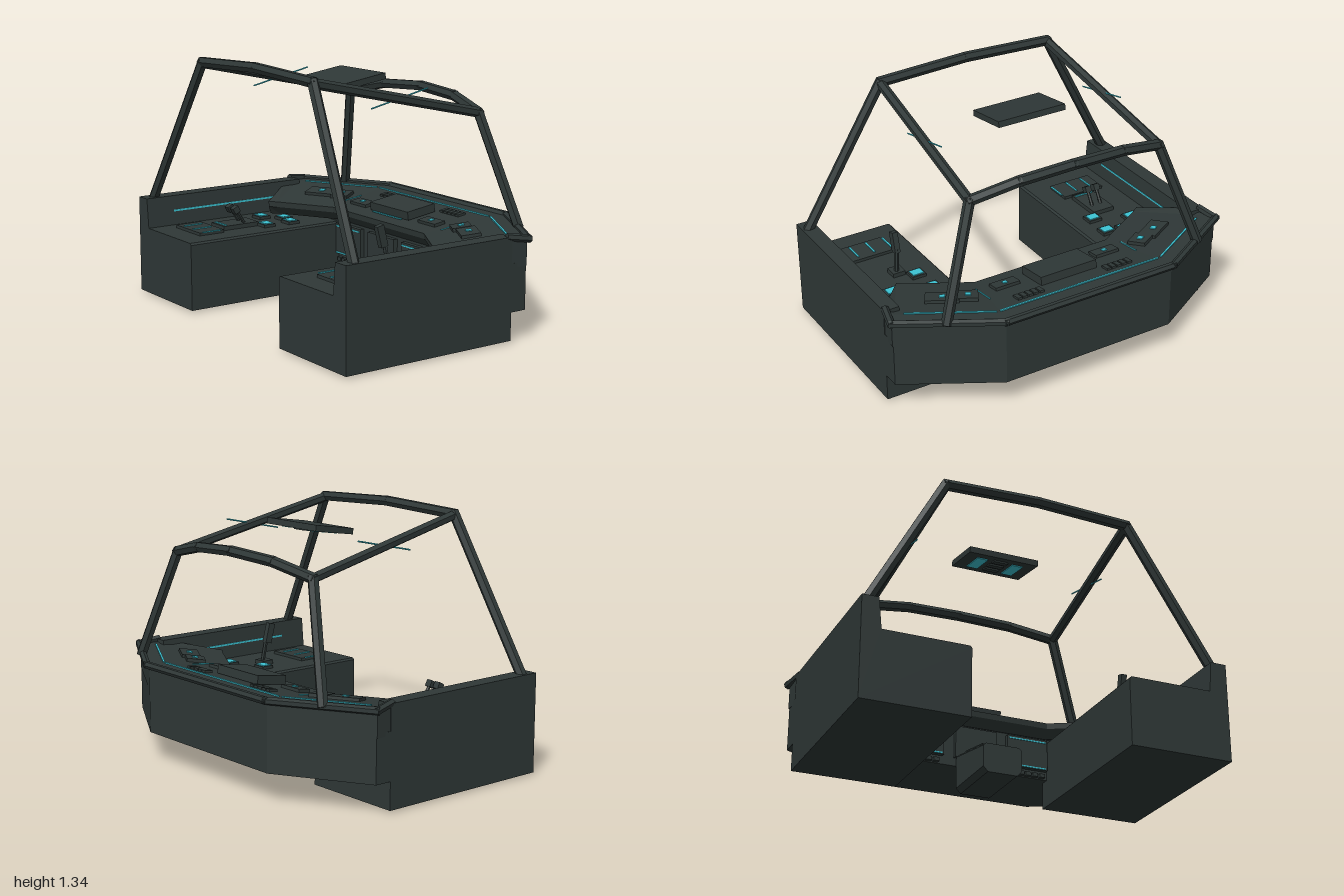
import * as THREE from 'three';

const hull = new THREE.MeshStandardMaterial({ color: 0x2f3837, flatShading: true });
hull.name = 'dark hull';
const glow = new THREE.MeshStandardMaterial({ color: 0x3cc4d4, flatShading: true });
glow.name = 'cyan light';

export function createModel() {
  const root = new THREE.Group();
  root.name = 'cockpit';

  const add = (name, geo, mat = hull) => {
    const m = new THREE.Mesh(geo, mat);
    m.name = name;
    root.add(m);
    return m;
  };
  // Box with a size, a centre, a turn about y and then a tilt about x
  const box = (name, size, pos, mat = hull, ry = 0, rx = 0) => {
    const m = add(name, new THREE.BoxGeometry(...size), mat);
    m.position.set(...pos);
    m.rotation.set(rx, ry, 0, 'YXZ');
    return m;
  };
  // Faceted bar between two points
  const bar = (name, a, b, r, mat = hull, extra = 0.012, sides = 6) => {
    const p = new THREE.Vector3(...a), q = new THREE.Vector3(...b);
    const d = q.clone().sub(p);
    const m = add(name, new THREE.CylinderGeometry(r, r, d.length() + 2 * extra, sides), mat);
    m.position.copy(p).add(q).multiplyScalar(0.5);
    m.quaternion.setFromUnitVectors(new THREE.Vector3(0, 1, 0), d.normalize());
    return m;
  };
  const path = (name, pts, r) => {
    for (let i = 0; i + 1 < pts.length; i++) bar(name, pts[i], pts[i + 1], r);
  };
  const extrude = (pts, depth) => new THREE.ExtrudeGeometry(
    new THREE.Shape(pts.map(p => new THREE.Vector2(...p))), { depth, bevelEnabled: false });
  // Mirrors the right half of a path to make the full one
  const mirror = half => [...half.map(([x, y, z]) => [-x, y, z]), ...half.slice().reverse()];

  // Side consoles with raised outer walls
  for (const s of [-1, 1]) {
    const section = [[0.415, 0.012], [0.965, 0.012], [0.965, 0.532], [0.88, 0.532], [0.865, 0.372], [0.425, 0.372], [0.415, 0.362]];
    const geo = extrude(section.map(([x, y]) => [s * x, y]), 0.99);
    geo.translate(0, 0, -0.3);
    add('sideConsole', geo);
    box('wallLight', [0.006, 0.01, 0.83], [s * 0.873, 0.45, 0.115], glow);

    // Rear switch panel with light strips
    box('switchPanel', [0.25, 0.02, 0.15], [s * 0.67, 0.378, 0.485]);
    for (const x of [0.54, 0.64, 0.735])
      box('switchStrip', [0.01, 0.006, 0.11], [s * x, 0.39, 0.49], glow);

    // Lit keys
    for (const [x, z] of [[0.74, 0.05], [0.64, -0.035], [0.55, 0.14], [0.54, -0.01]]) {
      box('keyBase', [0.08, 0.02, 0.07], [s * x, 0.378, z]);
      box('litKey', [0.062, 0.006, 0.05], [s * x, 0.39, z], glow);
    }
  }

  // Lower dashboard body
  const bodyPlan = [[0.49, 0.66], [0.965, 0.39], [0.965, 0.27], [0.42, 0.25]];
  const body = extrude([...bodyPlan, ...bodyPlan.slice().reverse().map(([x, z]) => [-x, z])], 0.245);
  body.rotateX(-Math.PI / 2);
  body.translate(0, 0.155, 0);
  add('dashBody', body);

  // Sloping dashboard top, lofted from cross-sections: [outer x, outer z, inner x, inner z]
  const half = [[0.96, -0.28, 0.74, 0.0], [0.97, -0.39, 0.70, -0.03], [0.49, -0.66, 0.40, -0.2]];
  const stations = [...half.map(([a, b, c, d]) => [-a, b, -c, d]), ...half.slice().reverse()];
  const profile = [[0, 0.38], [0, 0.515], [0.17, 0.515], [1, 0.46], [0.99, 0.43], [0.9, 0.385]];
  const verts = [], index = [], n = profile.length;
  for (const [ox, oz, ix, iz] of stations)
    for (const [t, y] of profile) verts.push(ox + (ix - ox) * t, y, oz + (iz - oz) * t);
  for (let i = 0; i + 1 < stations.length; i++)
    for (let j = 0; j < n; j++) {
      const a = i * n + j, b = i * n + (j + 1) % n;
      index.push(a, b + n, a + n, a, b, b + n);
    }
  const last = (stations.length - 1) * n;
  for (let j = 1; j + 1 < n; j++) index.push(0, j + 1, j, last, last + j, last + j + 1);
  const dash = new THREE.BufferGeometry();
  dash.setAttribute('position', new THREE.Float32BufferAttribute(verts, 3));
  dash.setIndex(index);
  dash.computeVertexNormals();
  add('dashTop', dash);

  // Rim rail around the front of the dashboard
  path('dashRail', mirror([[0.95, 0.53, -0.29], [0.975, 0.515, -0.395], [0.495, 0.515, -0.67]]), 0.02);

  // Dashboard modules; dashY is the slope height at a depth from the outer edge
  const dashY = d => 0.515 - 0.055 * Math.max(0, d - 0.08) / 0.38;
  const tilt = 0.14, turn = -0.512;
  box('centreScreen', [0.33, 0.045, 0.18], [0, 0.51, -0.37], hull, 0, tilt);
  box('screenLight', [0.25, 0.006, 0.008], [0, 0.477, -0.268], glow, 0, tilt);
  box('shelfLight', [0.94, 0.006, 0.01], [0, 0.517, -0.57], glow);
  for (const s of [-1, 1]) {
    box('shelfLight', [0.45, 0.006, 0.01], [s * 0.685, 0.517, -0.457], glow, s * turn);
    box('dashModule', [0.14, 0.024, 0.07], [s * 0.3, dashY(0.33) + 0.004, -0.33], hull, 0, tilt);
    box('moduleLight', [0.024, 0.006, 0.024], [s * 0.3, dashY(0.33) + 0.018, -0.33], glow, 0, tilt);
    box('dividerLight', [0.006, 0.006, 0.14], [s * 0.44, dashY(0.31) + 0.002, -0.35], glow, 0, tilt);
    for (const [x, z, w] of [[0.64, -0.295, 0.17], [0.52, -0.345, 0.1]]) {
      box('wingModule', [w, 0.024, 0.1], [s * x, 0.494, z], hull, s * turn, tilt);
      box('wingModuleLight', [0.03, 0.006, 0.03], [s * x, 0.508, z], glow, s * turn, tilt);
    }
    for (let i = 0; i < 5; i++) {
      box('dashKey', [0.025, 0.012, 0.05], [s * (0.2 + i * 0.032), 0.509, -0.5], hull, 0, tilt);
      box('kneeKey', [0.03, 0.02, 0.03], [s * (0.22 + i * 0.04), 0.17, -0.24]);
    }
    // Knee panels under the dashboard
    box('kneePanel', [0.23, 0.17, 0.03], [s * 0.295, 0.285, -0.24]);
    box('kneeLight', [0.21, 0.007, 0.006], [s * 0.295, 0.355, -0.224], glow);
    box('kneeLight', [0.21, 0.007, 0.006], [s * 0.295, 0.207, -0.224], glow);
  }
  box('centreKneePanel', [0.23, 0.17, 0.03], [0, 0.285, -0.24]);

  // Centre pedestal, with chamfered lower edges
  const pedestal = extrude([[-0.105, 0.03], [-0.08, 0.003], [0.08, 0.003], [0.105, 0.03], [0.105, 0.2], [0.09, 0.215], [-0.09, 0.215], [-0.105, 0.2]], 0.35);
  pedestal.translate(0, 0, -0.24);
  const pp = pedestal.attributes.position;
  for (let i = 0; i < pp.count; i++)
    if (pp.getY(i) > 0.1 && pp.getZ(i) > 0) pp.setY(i, pp.getY(i) - 0.06);
  pedestal.computeVertexNormals();
  add('pedestal', pedestal);
  box('pedestalPanel', [0.17, 0.014, 0.22], [0, 0.187, -0.06], hull, 0, 0.17);
  for (const z of [-0.155, -0.06, 0.03])
    box('pedestalLight', [0.12, 0.006, 0.012], [0, 0.186 - 0.171 * (z + 0.06) + 0.009, z], glow, 0, 0.17);

  // Twin throttle on the right console
  box('throttleBase', [0.13, 0.03, 0.22], [-0.645, 0.38, 0.28]);
  box('throttleLight', [0.11, 0.006, 0.01], [-0.645, 0.397, 0.37], glow);
  for (const x of [-0.67, -0.615]) {
    bar('throttleLever', [x, 0.39, 0.24], [x, 0.47, 0.29], 0.009);
    box('throttleGrip', [0.035, 0.035, 0.035], [x, 0.47, 0.295], hull, 0, 0.5);
  }

  // Control stick on the left console
  box('stickBase', [0.07, 0.03, 0.07], [0.63, 0.38, 0.21]);
  bar('stickShaft', [0.635, 0.38, 0.2], [0.622, 0.5, 0.215], 0.012);
  box('stickGrip', [0.03, 0.11, 0.04], [0.62, 0.545, 0.235], hull, 0, 0.25);

  // Canopy frame: rear hoop, front hoop and the beams between them
  path('rearHoop', mirror([[0.925, 0.53, 0.62], [0.505, 1.3, 0.55], [0, 1.32, 0.55]]).filter((p, i) => i !== 3), 0.028);
  path('frontHoop', mirror([[0.745, 0.52, -0.53], [0.55, 1.08, -0.425], [0.3, 1.135, -0.47], [0, 1.152, -0.49]]).filter((p, i) => i !== 4), 0.028);
  for (const s of [-1, 1]) {
    bar('sideBeam', [s * 0.505, 1.295, 0.55], [s * 0.55, 1.08, -0.425], 0.026);
    bar('beamLight', [s * 0.525, 1.15, 0.225], [s * 0.525, 1.225, -0.12], 0.004, glow, 0);
  }

  // Overhead panel with lit plates beneath
  box('overheadPanel', [0.39, 0.032, 0.25], [0, 1.233, 0.015], hull, 0, 0.15);
  for (const x of [-0.1, 0.1])
    box('overheadLight', [0.06, 0.006, 0.15], [x, 1.215, 0.012], glow, 0, 0.15);
  for (const z of [-0.04, 0.02, 0.08])
    box('overheadSwitch', [0.08, 0.012, 0.035], [0, 1.214 - (z - 0.015) * 0.151, z], hull, 0, 0.15);

  return root;
}
